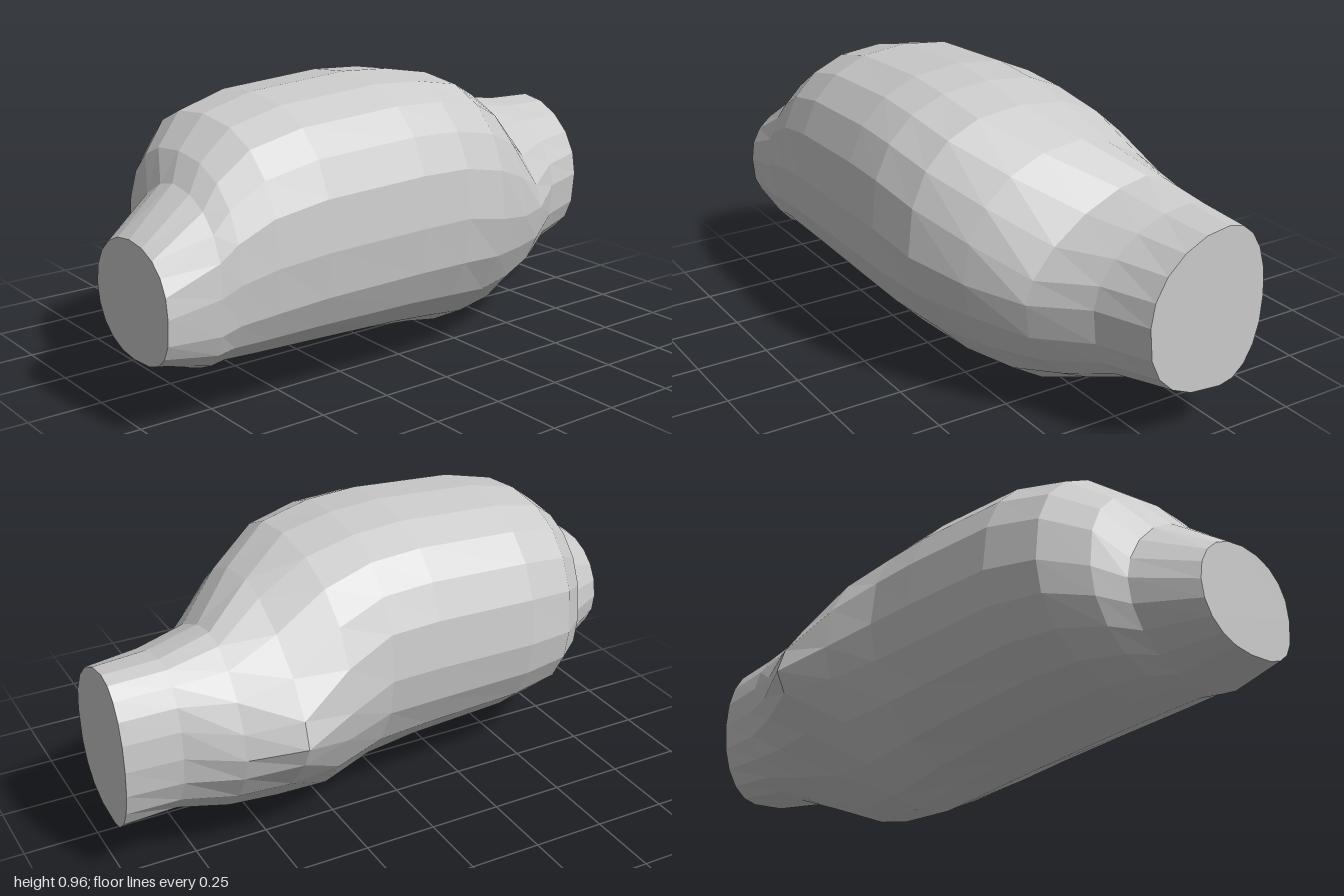
import * as THREE from 'three';

const SIDES = 20;

// Cross-sections along x:
// [x, front z, back z, top y, bottom y, side y, top z, bottom z, roundness front-top, front-bottom, back-top, back-bottom]
const SECTIONS = [
  [-1.0, 0.44, 0.015, 0.60, 0.225, 0.41, 0.23, 0.23, 2.2, 2.9, 2.1, 2.1],
  [-0.82, 0.45, -0.11, 0.73, 0.17, 0.44, 0.18, 0.2, 2.3, 2.9, 1.7, 2.0],
  [-0.76, 0.46, -0.207, 0.81, 0.16, 0.47, 0.12, 0.13, 2.3, 2.7, 2.4, 2.0],
  [-0.64, 0.475, -0.32, 0.90, 0.14, 0.50, 0.07, 0.08, 2.4, 2.6, 2.4, 1.95],
  [-0.455, 0.49, -0.37, 0.945, 0.12, 0.52, 0.06, 0.06, 2.45, 2.4, 2.4, 1.95],
  [-0.09, 0.50, -0.38, 0.967, 0.095, 0.53, 0.06, 0.06, 2.45, 2.25, 2.4, 1.95],
  [0.09, 0.50, -0.385, 0.955, 0.065, 0.53, 0.06, 0.03, 2.45, 2.15, 2.4, 1.85],
  [0.27, 0.47, -0.44, 0.92, 0.005, 0.49, 0.05, -0.025, 2.4, 1.85, 2.2, 1.6],
  [0.455, 0.38, -0.505, 0.84, 0.005, 0.445, -0.06, -0.03, 2.15, 1.75, 1.55, 1.32],
  [0.635, 0.27, -0.435, 0.75, 0.085, 0.42, -0.18, -0.1, 1.6, 2.2, 1.75, 1.6],
  [0.815, 0.145, -0.37, 0.715, 0.16, 0.445, -0.207, -0.13, 1.85, 2.6, 2.2, 2.1],
  [1.0, 0.075, -0.36, 0.708, 0.172, 0.445, -0.207, -0.207, 1.95, 2.6, 2.2, 2.1],
];

// One ring of points, each quadrant a rounded curve between its extremes
function ring([x, front, back, top, bottom, cy, topZ, bottomZ, nFT, nFB, nBT, nBB]) {
  const points = [];
  for (let k = 0; k < SIDES; k++) {
    const c = Math.cos((k / SIDES) * Math.PI * 2);
    const s = Math.sin((k / SIDES) * Math.PI * 2);
    const upper = s > 0;
    const p = 2 / (c > 0 ? (upper ? nFT : nFB) : (upper ? nBT : nBB));
    const cz = upper ? topZ : bottomZ;
    const z = cz + ((c > 0 ? front : back) - cz) * Math.abs(c) ** p;
    const y = cy + ((upper ? top : bottom) - cy) * Math.abs(s) ** p;
    points.push(new THREE.Vector3(x, y, z));
  }
  return points;
}

function facets(name, points) {
  const geometry = new THREE.BufferGeometry().setFromPoints(points);
  geometry.computeVertexNormals();
  const material = new THREE.MeshStandardMaterial({ color: 0xcccccc, flatShading: true });
  const mesh = new THREE.Mesh(geometry, material);
  mesh.name = name;
  return mesh;
}

// Flat end closing a ring
function cap(name, points, facesLeft) {
  const tris = [];
  for (let k = 1; k < SIDES - 1; k++) {
    if (facesLeft) tris.push(points[0], points[k + 1], points[k]);
    else tris.push(points[0], points[k], points[k + 1]);
  }
  return facets(name, tris);
}

export function createModel() {
  const group = new THREE.Group();
  group.name = 'facetedTrunk';
  const rings = SECTIONS.map(ring);

  // Swollen body lofted through the rings
  const tris = [];
  for (let i = 0; i < rings.length - 1; i++) {
    for (let k = 0; k < SIDES; k++) {
      const n = (k + 1) % SIDES;
      const a = rings[i][k], b = rings[i][n];
      const c = rings[i + 1][k], d = rings[i + 1][n];
      tris.push(a, c, b, b, c, d);
    }
  }
  group.add(facets('body', tris));

  // Cut ends
  group.add(cap('rightEnd', rings[0], false));
  group.add(cap('leftEnd', rings[rings.length - 1], true));
  return group;
}
